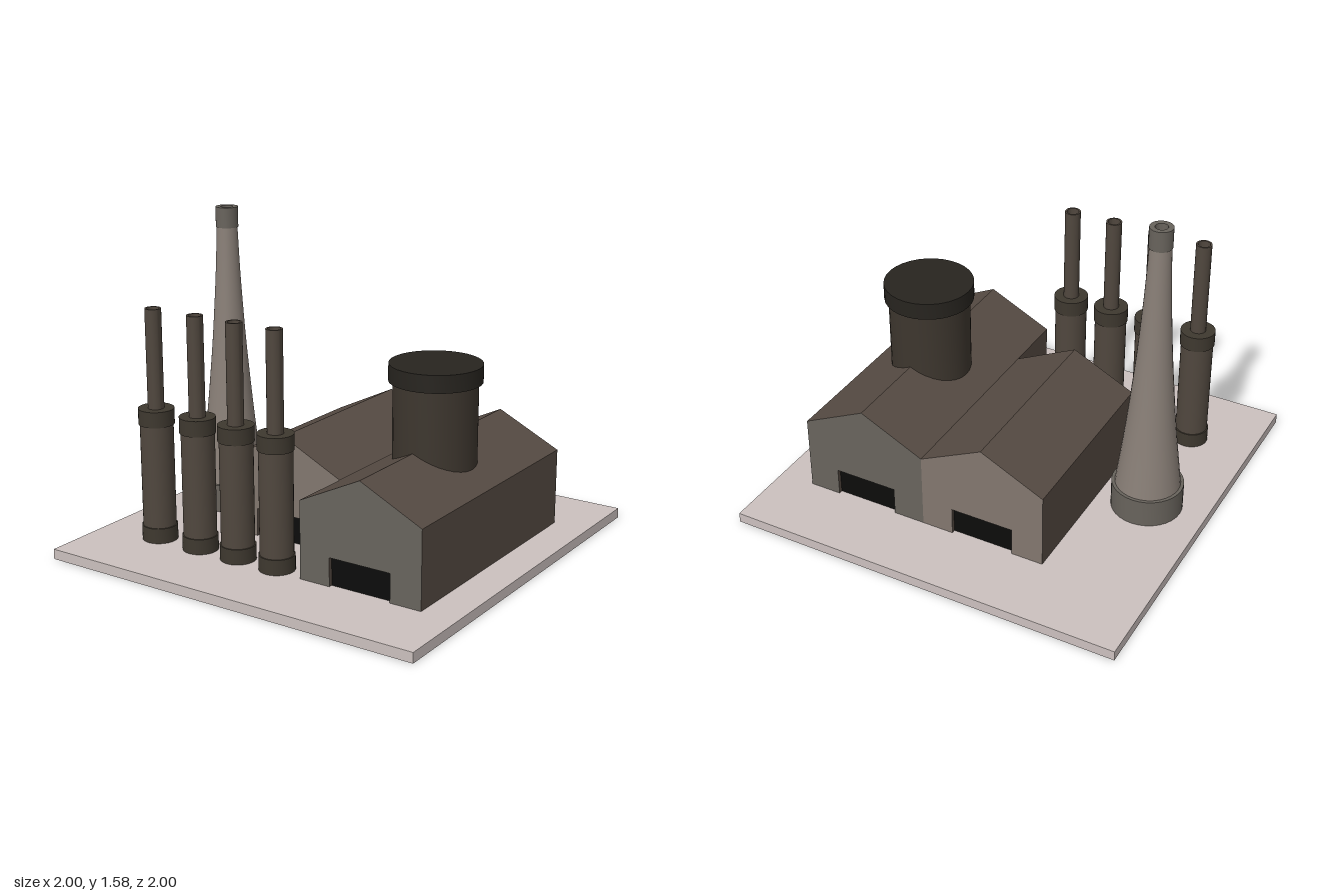
import * as THREE from 'three';
import { toCreasedNormals } from 'three/addons/utils/BufferGeometryUtils.js';

const GROUND = 0.05;
const mat = (color) => new THREE.MeshStandardMaterial({ color });
const plateMat = mat(0xcbc0be);
const claddingMat = mat(0x564b43);
const darkGableMat = mat(0x68645d);
const lightGableMat = mat(0x82776f);
const doorMat = mat(0x0c0c0b);
const pipeMat = mat(0x50473e);
const collarMat = mat(0x3e382f);
const silencerMat = mat(0x3d362e);
const lidMat = mat(0x27241f);
const concreteMat = mat(0x897f77);
const bandMat = mat(0x68635c);

function add(parent, name, geometry, material, x = 0, y = 0, z = 0) {
  const mesh = new THREE.Mesh(geometry, material);
  mesh.name = name;
  mesh.position.set(x, y, z);
  parent.add(mesh);
  return mesh;
}

// Solid of revolution from [radius, height] pairs, with crisp edges
function turned(points, segments = 32) {
  const profile = points.map(([r, y]) => new THREE.Vector2(r, y));
  return toCreasedNormals(new THREE.LatheGeometry(profile, segments), 0.6);
}

const drum = (r, y0, y1) => turned([[0, y0], [r, y0], [r, y1], [0, y1]]);

// Open-mouthed tube with a black floor inside the mouth
function mouth(parent, name, r, hole, y0, y1, depth, material) {
  add(parent, name, turned([[r, y0], [r, y1], [hole, y1], [hole, y1 - depth]]), material);
  const floor = new THREE.CircleGeometry(hole, 32).rotateX(-Math.PI / 2);
  add(parent, name + 'Opening', floor, doorMat, 0, y1 - depth, 0);
}

// Gabled hall with a doorway at both ends and the doors set slightly back
function hall(name, x, zBack, zFront, gableMat) {
  const group = new THREE.Group();
  group.name = name;
  const w = 0.32, eave = 0.43, ridge = 0.585, dw = 0.16, dh = 0.19, inset = 0.02;
  const shape = new THREE.Shape([
    [-w, GROUND], [-dw, GROUND], [-dw, dh], [dw, dh], [dw, GROUND],
    [w, GROUND], [w, eave], [0, ridge], [-w, eave],
  ].map(([px, py]) => new THREE.Vector2(px, py)));
  const length = zFront - zBack;
  const body = new THREE.ExtrudeGeometry(shape, { depth: length, bevelEnabled: false });
  add(group, name + 'Walls', body, [gableMat, claddingMat], 0, 0, zBack);
  const doors = new THREE.BoxGeometry(dw * 2, dh - GROUND, length - inset * 2);
  add(group, name + 'Doors', doors, doorMat, 0, (dh + GROUND) / 2, (zBack + zFront) / 2);
  group.position.x = x;
  return group;
}

// Exhaust stack: wide lower casing with two collars and a thin pipe
function exhaustStack(x, z) {
  const group = new THREE.Group();
  group.name = 'exhaustStack';
  add(group, 'stackFoot', drum(0.086, GROUND, 0.125), collarMat);
  add(group, 'stackCasing', drum(0.08, 0.1, 0.65), pipeMat);
  add(group, 'stackCollar', drum(0.086, 0.63, 0.707), collarMat);
  mouth(group, 'stackPipe', 0.039, 0.03, 0.7, 1.19, 0.05, pipeMat);
  group.position.set(x, 0, z);
  return group;
}

// Tall chimney with a gently concave taper
function chimney(x, z) {
  const group = new THREE.Group();
  group.name = 'chimney';
  add(group, 'chimneyBase', drum(0.175, GROUND, 0.19), bandMat);
  const taper = new THREE.SplineCurve([
    [0.159, 0.19], [0.122, 0.5], [0.093, 0.8], [0.077, 1.0], [0.061, 1.25], [0.05, 1.5],
  ].map(([r, y]) => new THREE.Vector2(r, y)));
  add(group, 'chimneyShaft', new THREE.LatheGeometry(taper.getPoints(16), 32), concreteMat);
  add(group, 'chimneyRimUnderside', drum(0.055, 1.48, 1.485), bandMat);
  mouth(group, 'chimneyRim', 0.055, 0.03, 1.48, 1.58, 0.06, bandMat);
  group.position.set(x, 0, z);
  return group;
}

export function createModel() {
  const model = new THREE.Group();
  model.name = 'factory';

  add(model, 'basePlate', new THREE.BoxGeometry(2, GROUND, 2), plateMat, 0, GROUND / 2, 0);

  // Two halls side by side
  model.add(hall('longHall', 0.5, -0.64, 0.64, darkGableMat));
  model.add(hall('shortHall', -0.14, -0.64, 0.32, lightGableMat));

  // Round tower on the long hall's roof
  add(model, 'roofTower', drum(0.2, 0.4, 0.9), silencerMat, 0.5, 0, 0);
  add(model, 'roofTowerLid', drum(0.22, 0.885, 0.97), lidMat, 0.5, 0, 0);

  model.add(chimney(-0.7, 0));
  for (const x of [-0.677, -0.428, -0.203, 0.022]) model.add(exhaustStack(x, 0.6));

  return model;
}
